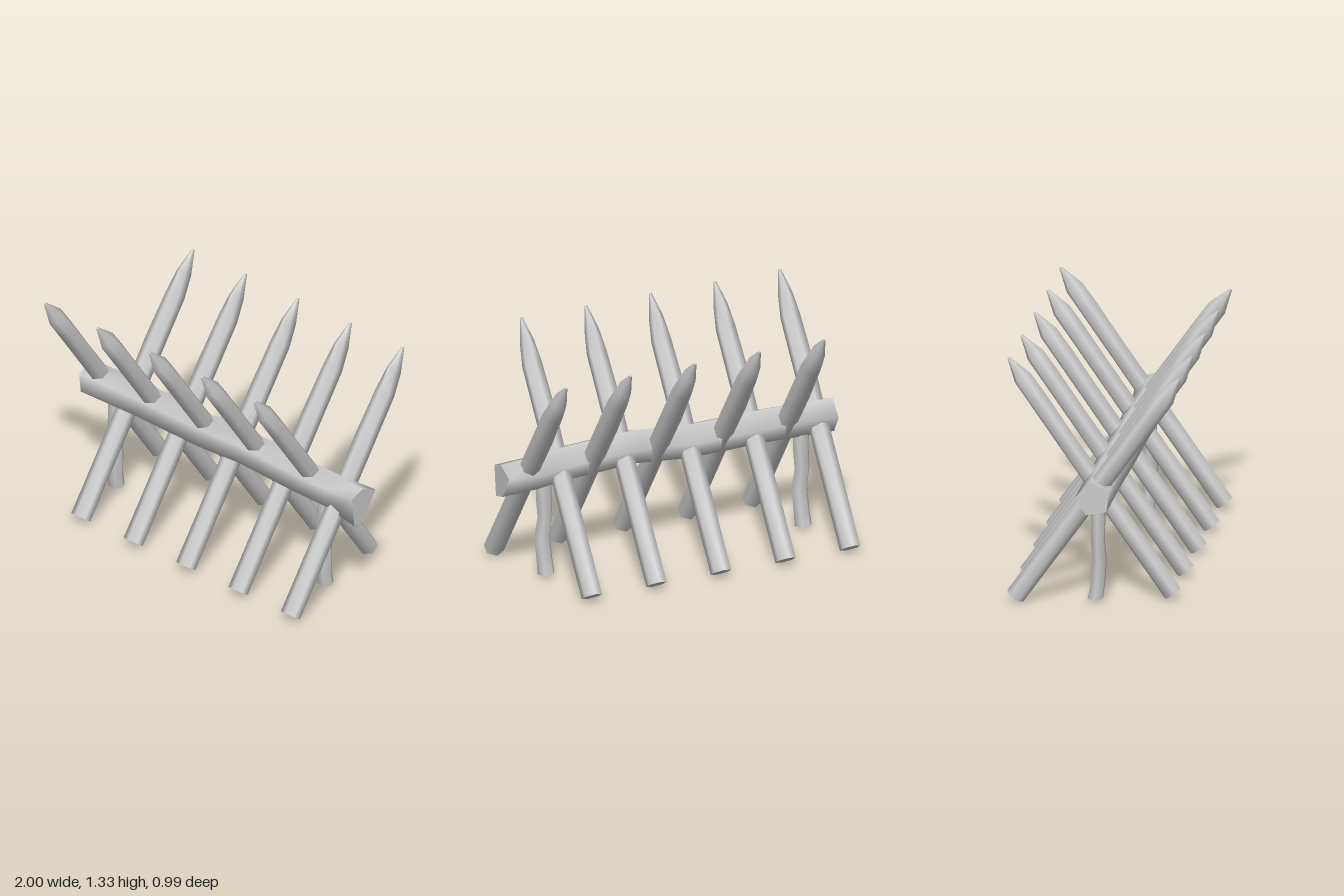
import * as THREE from 'three';

const material = new THREE.MeshStandardMaterial({ color: 0xcccccc });

// Skin a list of equal-sized rings with smooth sides and flat end caps.
function loft(rings) {
  const n = rings[0].length, last = rings.length - 1;
  const pos = [], index = [];
  rings.forEach(r => r.forEach(p => pos.push(...p)));
  for (let i = 0; i < last; i++) {
    for (let j = 0; j < n; j++) {
      const a = i * n + j, b = i * n + (j + 1) % n;
      index.push(a, b, a + n, b, b + n, a + n);
    }
  }
  // Caps own their vertices so the end edges stay sharp.
  [rings[0], rings[last]].forEach((r, end) => {
    const base = pos.length / 3;
    r.forEach(p => pos.push(...p));
    for (let j = 1; j < n - 1; j++) {
      if (end) index.push(base, base + j, base + j + 1);
      else index.push(base, base + j + 1, base + j);
    }
  });
  const g = new THREE.BufferGeometry();
  g.setAttribute('position', new THREE.Float32BufferAttribute(pos, 3));
  g.setIndex(index);
  g.computeVertexNormals();
  return g;
}

// Horizontal ring around (x, y, z) with its own radii along x and z.
function ringY(n, x, y, z, rx, rz, turn = 0) {
  return Array.from({ length: n }, (_, j) => {
    const a = turn + j / n * Math.PI * 2;
    return [x + rx * Math.sin(a), y, z + rz * Math.cos(a)];
  });
}

function add(parent, name, geometry) {
  const mesh = new THREE.Mesh(geometry, material);
  mesh.name = name;
  parent.add(mesh);
  return mesh;
}

export function createModel() {
  const model = new THREE.Group();
  model.name = 'spikedBarricade';

  // Crooked five-sided log: x, centre y, centre z
  const path = [
    [-1, 0.648, 0.03], [-0.6, 0.656, 0.03], [-0.12, 0.648, 0.03],
    [0.18, 0.672, 0.04], [0.6, 0.652, 0.037], [0.8, 0.637, 0.02],
  ];
  const logRings = path.map(([x, y, z]) => Array.from({ length: 5 }, (_, j) => {
    const a = Math.PI / 6 - j / 5 * Math.PI * 2;
    return [x, y + 0.1 * Math.sin(a), z + 0.1 * Math.cos(a)];
  }));
  // Ragged cut at the left end
  logRings.push([[0.09, 0.685], [0.07, 0.51], [-0.015, 0.535], [-0.1, 0.67], [0.007, 0.715]]
    .map(([z, y]) => [1, y, z]));
  add(model, 'log', loft(logRings));

  // Sharpened stake: distance along shaft, x radius, z radius, x shift
  const stakeGeometry = loft([
    [0, 0.058, 0.054, 0], [0.75, 0.058, 0.054, 0], [1.05, 0.061, 0.053, -0.002],
    [1.32, 0.056, 0.054, 0.002], [1.45, 0.037, 0.053, -0.002], [1.586, 0.007, 0.007, -0.005],
  ].map(([y, rx, rz, x]) => ringY(6, x, y, 0, rx, rz)));

  // Stakes alternate in lean along the log
  for (let i = 0; i < 10; i++) {
    const side = i % 2 ? -1 : 1;
    const stake = add(model, side > 0 ? 'frontLeaningStake' : 'backLeaningStake', stakeGeometry);
    stake.position.set(-0.903 + i * 0.1945, 0.038, -0.418 * side);
    stake.rotation.x = 0.61 * side;
  }

  // Wavy support legs under the log: y, x shift, z, radius
  const legGeometry = loft([
    [0.025, 0, 0.01, 0.045], [0.1, 0.004, 0.022, 0.042], [0.24, 0.014, 0.03, 0.042],
    [0.36, 0, 0.024, 0.04], [0.48, 0.008, 0.024, 0.042], [0.64, 0.005, 0.02, 0.042],
  ].map(([y, x, z, r]) => ringY(6, x, y, z, r * 1.12, r, Math.PI / 6)));
  add(model, 'rightLeg', legGeometry).position.x = -0.823;
  add(model, 'leftLeg', legGeometry).position.x = 0.727;

  return model;
}
